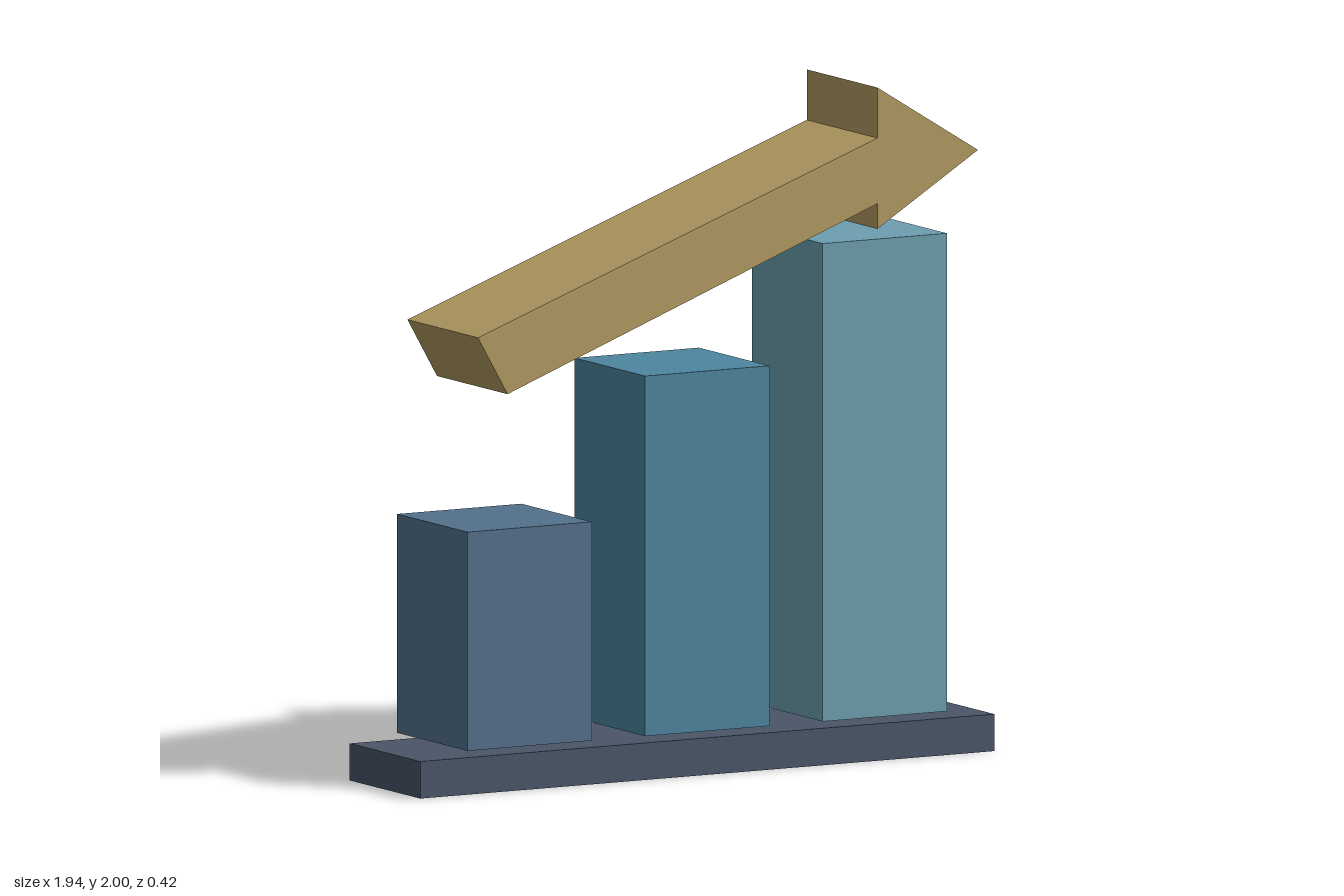
import * as THREE from 'three';

const DEPTH = 0.42;

function material(color) {
  return new THREE.MeshStandardMaterial({ color });
}

// Box named and placed by its centre x, bottom and top
function block(name, x, width, bottom, top, color) {
  const mesh = new THREE.Mesh(new THREE.BoxGeometry(width, top - bottom, DEPTH), material(color));
  mesh.name = name;
  mesh.position.set(x, (bottom + top) / 2, 0);
  return mesh;
}

export function createModel() {
  const model = new THREE.Group();
  model.name = 'barChart';

  // Base plate
  model.add(block('base', 0, 1.94, 0, 0.11, 0x4a5568));

  // Three rising bars, floating just above the base
  const bars = [
    ['shortBar', -0.6, 0.78, 0x53718c],
    ['middleBar', 0, 1.2, 0x4c86a0],
    ['tallBar', 0.6, 1.55, 0x6d9fb0],
  ];
  for (const [name, x, top, color] of bars) {
    model.add(block(name, x, 0.42, 0.13, top, color));
  }

  // Rising arrow: slanted shaft with an upright-backed head
  const outline = [
    [-0.775, 1.355], [-0.675, 1.18], [0.575, 1.655], [0.575, 1.58],
    [0.915, 1.79], [0.575, 2.0], [0.575, 1.85],
  ].map(([x, y]) => new THREE.Vector2(x, y));
  const arrowGeometry = new THREE.ExtrudeGeometry(new THREE.Shape(outline), {
    depth: DEPTH,
    bevelEnabled: false,
  });
  arrowGeometry.translate(0, 0, -DEPTH / 2);
  const arrow = new THREE.Mesh(arrowGeometry, material(0xb39c62));
  arrow.name = 'arrow';
  model.add(arrow);

  return model;
}
